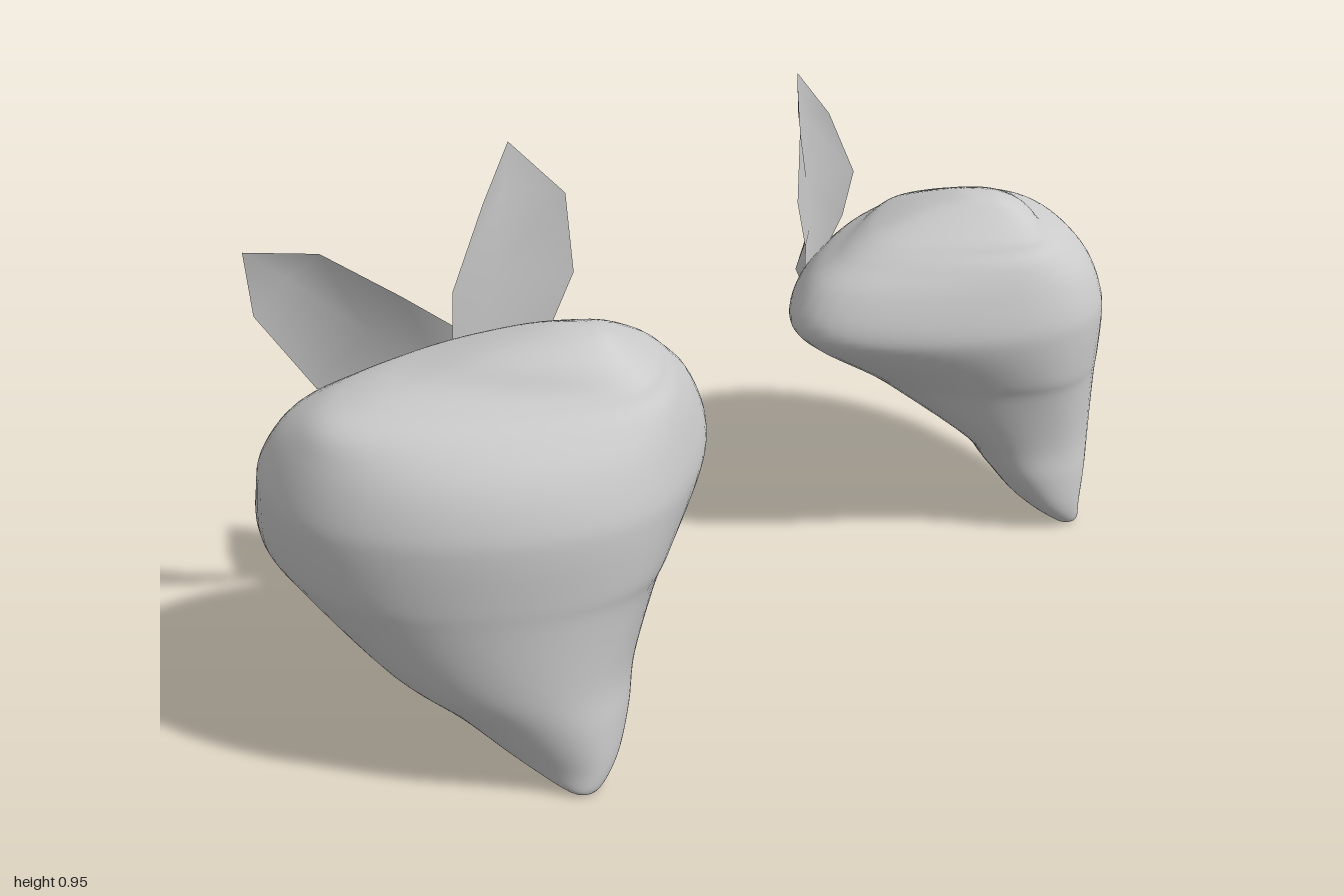
import * as THREE from 'three';

// Berry levels: y, inner x & its z, outer x & its z, front z & its x, back z & its x
const LEVELS = [
  [0.0, 0.71, 0.37, 0.71, 0.37, 0.37, 0.71, 0.37, 0.71],
  [0.008, 0.68, 0.365, 0.74, 0.36, 0.388, 0.71, 0.32, 0.71],
  [0.05, 0.63, 0.345, 0.775, 0.28, 0.395, 0.7, 0.2, 0.72],
  [0.12, 0.58, 0.31, 0.83, 0.22, 0.395, 0.7, 0.105, 0.74],
  [0.2, 0.53, 0.26, 0.905, 0.15, 0.391, 0.69, 0.0, 0.76],
  [0.32, 0.41, 0.16, 0.97, 0.08, 0.403, 0.65, -0.29, 0.74],
  [0.37, 0.345, 0.12, 0.99, 0.06, 0.413, 0.63, -0.352, 0.72],
  [0.45, 0.22, 0.07, 1.0, 0.05, 0.42, 0.62, -0.325, 0.72],
  [0.5, 0.19, 0.05, 0.995, 0.05, 0.418, 0.61, -0.3, 0.73],
  [0.57, 0.225, 0.05, 0.97, 0.05, 0.4, 0.59, -0.225, 0.74],
  [0.62, 0.285, 0.07, 0.935, 0.05, 0.378, 0.57, -0.14, 0.71],
  [0.648, 0.325, 0.09, 0.86, 0.06, 0.358, 0.565, -0.09, 0.65],
  [0.67, 0.365, 0.11, 0.775, 0.09, 0.343, 0.56, -0.04, 0.6],
  [0.705, 0.44, 0.15, 0.69, 0.15, 0.305, 0.56, 0.06, 0.56],
  [0.73, 0.51, 0.2, 0.6, 0.2, 0.26, 0.55, 0.15, 0.55],
  [0.735, 0.55, 0.21, 0.55, 0.21, 0.21, 0.55, 0.21, 0.55],
];

// Leaf rows: one edge, midrib, other edge
const LEAF_BASE = [0.46, 0.46, -0.175];
const UPRIGHT_LEAF = {
  rows: [
    [[0.36, 0.6, -0.09], [0.46, 0.6, -0.165], [0.54, 0.62, -0.14]],
    [[0.31, 0.71, -0.07], [0.43, 0.72, -0.15], [0.55, 0.72, -0.12]],
    [[0.32, 0.86, -0.075], [0.4, 0.87, -0.15], [0.47, 0.86, -0.125]],
  ],
  tip: [0.39, 0.955, -0.145],
};
const OUTER_LEAF = {
  rows: [
    [[0.48, 0.61, -0.175], [0.5, 0.53, -0.22], [0.55, 0.465, -0.28]],
    [[0.61, 0.71, -0.19], [0.62, 0.62, -0.275], [0.69, 0.515, -0.35]],
    [[0.69, 0.78, -0.31], [0.72, 0.73, -0.37], [0.77, 0.66, -0.41]],
  ],
  tip: [0.775, 0.778, -0.42],
};

function makeGeometry(points, index, side) {
  const geo = new THREE.BufferGeometry();
  const pos = points.flatMap(([x, y, z]) => [x * side, y, z]);
  // Mirroring reverses the corner order
  if (side < 0) for (let i = 0; i < index.length; i += 3) [index[i], index[i + 1]] = [index[i + 1], index[i]];
  geo.setAttribute('position', new THREE.Float32BufferAttribute(pos, 3));
  geo.setIndex(index);
  geo.computeVertexNormals();
  return geo;
}

// Softens the corners of a closed ring, then refits it to its limits
function roundRing(values, min, max) {
  const n = values.length;
  for (let pass = 0; pass < 6; pass++) {
    values = values.map((v, i) => (values[(i + n - 1) % n] + 2 * v + values[(i + 1) % n]) / 4);
  }
  const lo = Math.min(...values), span = Math.max(...values) - lo;
  return values.map((v) => (span > 1e-6 ? min + ((v - lo) / span) * (max - min) : min));
}

// Lopsided heart lofted upward through the levels
function berryGeometry(side) {
  const rows = 75, segs = 64, n = LEVELS.length;
  const { lerp, smoothstep } = THREE.MathUtils;
  const spline = new THREE.CubicInterpolant(LEVELS.map((_, i) => i), LEVELS.flat(), LEVELS[0].length);
  const points = [], index = [];
  for (let r = 0; r <= rows; r++) {
    const [y, xIn, zIn, xOut, zOut, zFront, xFront, zBack, xBack] = spline.evaluate((r / rows) * (n - 1));
    // Shallow valley between the two upper lobes
    const valley = 0.3 * Math.exp(-(((y - 0.65) / 0.06) ** 2));
    const rise = smoothstep(y, 0.05, 0.45);
    const xs = [], zs = [];
    for (let s = 0; s < segs; s++) {
      const a = (s / segs) * Math.PI * 2, c = Math.cos(a), d = Math.sin(a);
      const outer = c >= 0, front = d >= 0;
      // Corner fullness of each quarter: 1 is round, 2 is straight
      const e = outer
        ? (front ? lerp(1.1, 1.15, rise) + valley : lerp(0.85, 1.05, rise))
        : (front ? lerp(1.0, 1.4, rise) : lerp(1.45, 1.65, rise));
      const p = 2 / e, len = (Math.abs(c) ** p + Math.abs(d) ** p) ** (-1 / p);
      const xMid = front ? xFront : xBack, zMid = outer ? zOut : zIn;
      xs.push(xMid + ((outer ? xOut : xIn) - xMid) * Math.abs(c) * len);
      zs.push(zMid + ((front ? zFront : zBack) - zMid) * Math.abs(d) * len);
    }
    const rx = roundRing(xs, xIn, xOut), rz = roundRing(zs, zBack, zFront);
    rx.forEach((x, s) => points.push([x, y, rz[s]]));
  }
  for (let r = 0; r < rows; r++) {
    for (let s = 0; s < segs; s++) {
      const t = (s + 1) % segs;
      const a = r * segs + s, b = r * segs + t, c = a + segs, d = b + segs;
      if (r > 0) index.push(a, c, b);
      if (r < rows - 1) index.push(b, c, d);
    }
  }
  return makeGeometry(points, index, side);
}

// Cupped leaf: a fan at each end and folded strips between
function leafGeometry({ rows, tip }, side) {
  const points = [LEAF_BASE, ...rows.flat(), tip];
  const last = points.length - 1, index = [];
  for (let k = 0; k < 2; k++) {
    index.push(0, 2 + k, 1 + k);
    for (let r = 0; r < rows.length - 1; r++) {
      const a = 1 + r * 3 + k;
      index.push(a, a + 1, a + 3, a + 1, a + 4, a + 3);
    }
    index.push(last - 3 + k, last - 2 + k, last);
  }
  return makeGeometry(points, index, side);
}

export function createModel() {
  const model = new THREE.Group();
  model.name = 'berryPair';
  const skin = new THREE.MeshStandardMaterial({ color: 0xcccccc });
  const leafMat = new THREE.MeshStandardMaterial({ color: 0xcccccc, side: THREE.DoubleSide });

  for (const side of [1, -1]) {
    const berry = new THREE.Group();
    berry.name = side > 0 ? 'leftBerry' : 'rightBerry';
    const add = (name, geo, mat) => {
      const mesh = new THREE.Mesh(geo, mat);
      mesh.name = name;
      berry.add(mesh);
    };
    add('fruit', berryGeometry(side), skin);
    add('uprightLeaf', leafGeometry(UPRIGHT_LEAF, side), leafMat);
    add('outerLeaf', leafGeometry(OUTER_LEAF, side), leafMat);
    model.add(berry);
  }
  return model;
}
